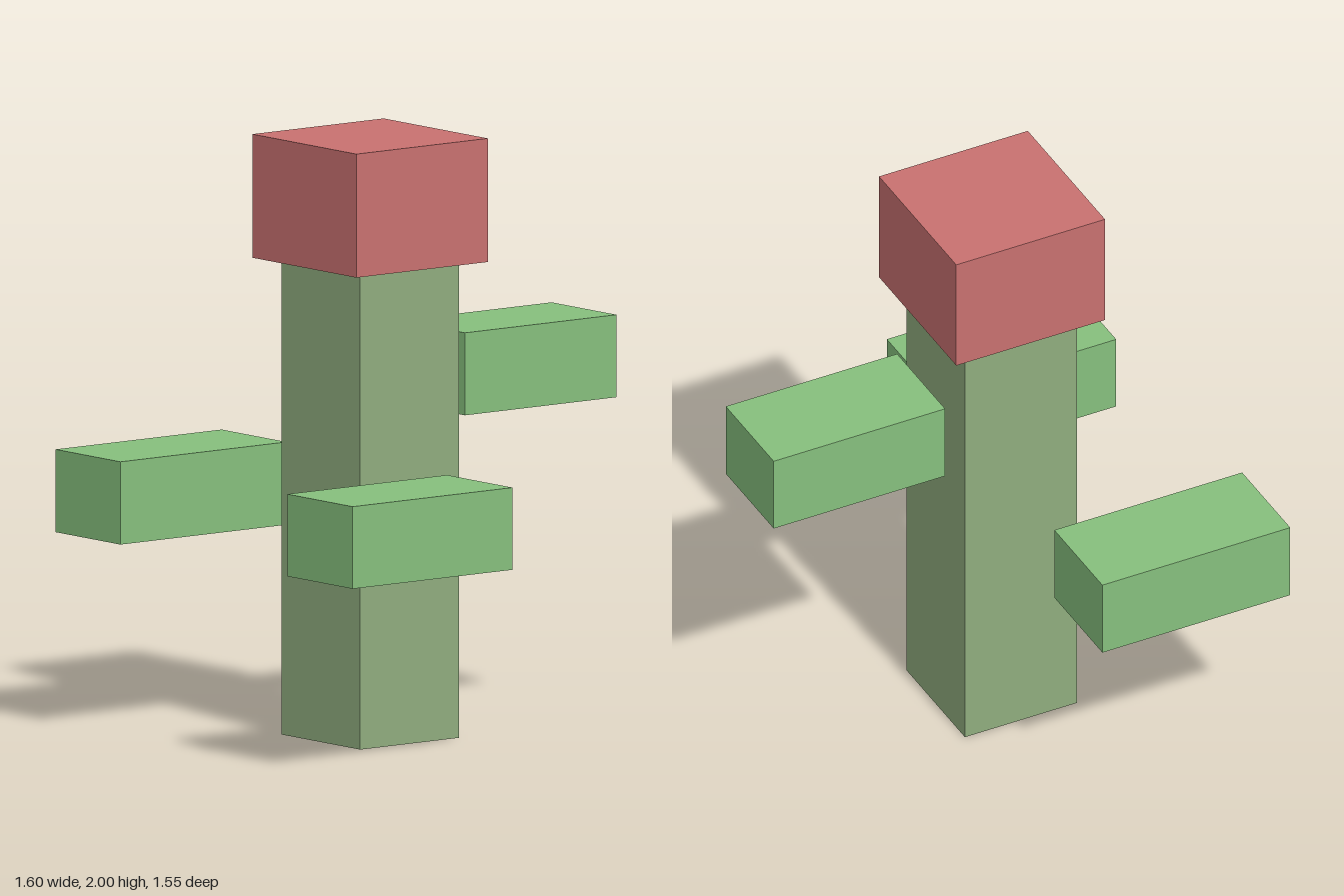
import * as THREE from 'three';

const paint = (color) => new THREE.MeshStandardMaterial({ color, flatShading: true });

// Box spanning [min, max] on each axis
function block(name, material, [x0, x1], [y0, y1], [z0, z1]) {
  const mesh = new THREE.Mesh(new THREE.BoxGeometry(x1 - x0, y1 - y0, z1 - z0), material);
  mesh.position.set((x0 + x1) / 2, (y0 + y1) / 2, (z0 + z1) / 2);
  mesh.name = name;
  return mesh;
}

export function createModel() {
  const model = new THREE.Group();
  model.name = 'blockTree';
  const trunkGreen = paint(0x8fac7e);
  const leafGreen = paint(0x86bf7d);
  const red = paint(0xc87170);

  model.add(
    // Upright trunk and its red cap
    block('trunk', trunkGreen, [-0.307, 0.108], [0, 1.588], [-0.197, 0.221]),
    block('cap', red, [-0.376, 0.176], [1.588, 2], [-0.266, 0.288]),
    // Detached side branches
    block('leftBranch', leafGreen, [0.164, 0.8], [1.065, 1.34], [-0.163, 0.181]),
    block('frontBranch', leafGreen, [-0.776, -0.105], [0.647, 0.921], [0.427, 0.775]),
    block('backBranch', leafGreen, [-0.8, -0.103], [0.652, 0.928], [-0.775, -0.43])
  );
  return model;
}
